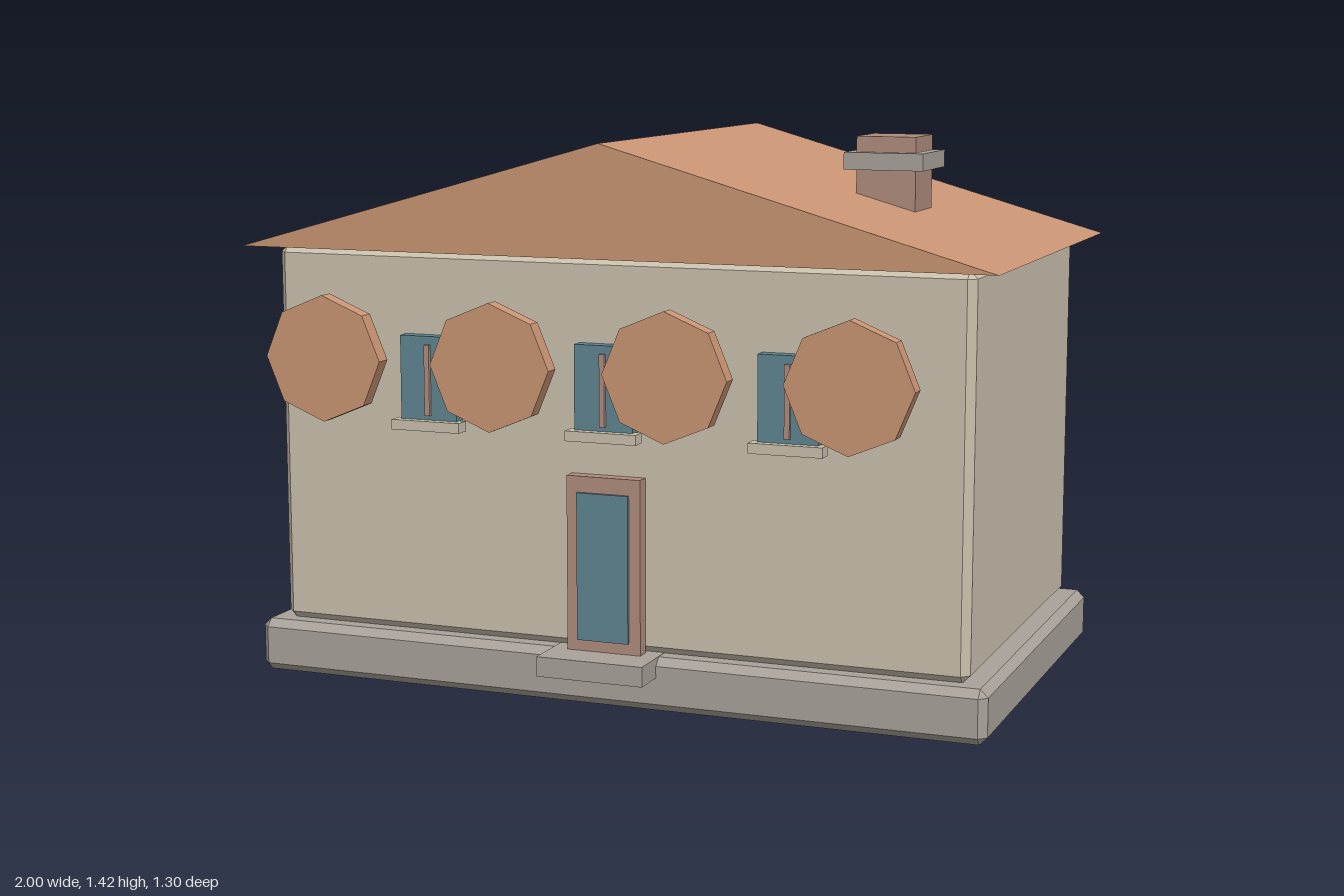
import * as THREE from 'three';
import { ConvexGeometry } from 'three/addons/geometries/ConvexGeometry.js';

const mat = (name, color) => {
  const m = new THREE.MeshStandardMaterial({ color });
  m.name = name;
  return m;
};

export function createModel() {
  const house = new THREE.Group();
  house.name = 'house';

  const plaster = mat('plaster', 0xcac1ae);
  const stone = mat('stone', 0xa9a29b);
  const tile = mat('terracotta', 0xca9574);
  const brick = mat('brick', 0xaf8c7e);
  const glass = mat('blueGlass', 0x5f8592);

  const add = (name, geometry, material, parent = house) => {
    const mesh = new THREE.Mesh(geometry, material);
    mesh.name = name;
    parent.add(mesh);
    return mesh;
  };

  // Plain box given by its extents on each axis
  const box = (name, material, [x0, x1], [y0, y1], [z0, z1], parent) => {
    const g = new THREE.BoxGeometry(x1 - x0, y1 - y0, z1 - z0);
    g.translate((x0 + x1) / 2, (y0 + y1) / 2, (z0 + z1) / 2);
    return add(name, g, material, parent);
  };

  // Box with every edge cut at 45 degrees
  const chamferBox = (name, material, w, h, d, c, y, z) => {
    const points = [];
    for (const sx of [-1, 1]) for (const sy of [-1, 1]) for (const sz of [-1, 1]) {
      for (let axis = 0; axis < 3; axis++) {
        const inset = [0, 1, 2].map((i) => (i === axis ? 0 : c));
        points.push(new THREE.Vector3(
          sx * (w / 2 - inset[0]), sy * (h / 2 - inset[1]), sz * (d / 2 - inset[2])));
      }
    }
    add(name, new ConvexGeometry(points), material).position.set(0, y + h / 2, z);
  };

  // Plinth and walls share a centre slightly behind the origin
  const midZ = -0.064;
  chamferBox('plinth', stone, 1.97, 0.138, 1.13, 0.02, 0, midZ);
  chamferBox('walls', plaster, 1.86, 0.997, 1.046, 0.02, 0.136, midZ);

  // Gable roof with the ridge running front to back
  const gable = new THREE.Shape([
    new THREE.Vector2(-1, 1.132), new THREE.Vector2(1, 1.132), new THREE.Vector2(0, 1.415),
  ]);
  const roof = new THREE.ExtrudeGeometry(gable, { depth: 1.17, bevelEnabled: false });
  add('roof', roof, tile).position.z = midZ - 0.585;

  // Chimney with a collar
  const chimney = new THREE.Group();
  chimney.name = 'chimney';
  chimney.position.set(0.578, 0, midZ);
  house.add(chimney);
  box('chimneyStack', brick, [-0.078, 0.078], [1.18, 1.418], [-0.078, 0.078], chimney);
  box('chimneyCollar', stone, [-0.104, 0.104], [1.334, 1.378], [-0.104, 0.104], chimney);

  // Door and step
  box('doorFrame', brick, [-0.099, 0.099], [0.136, 0.586], [0.461, 0.497]);
  box('doorPanel', glass, [-0.069, 0.069], [0.168, 0.545], [0.48, 0.506]);
  box('doorStep', stone, [-0.142, 0.142], [0.088, 0.139], [0.44, 0.594]);

  // Upper windows
  for (const x of [-0.482, 0, 0.482]) {
    const win = new THREE.Group();
    win.name = 'window';
    win.position.x = x;
    house.add(win);
    box('windowPane', glass, [-0.078, 0.078], [0.696, 0.917], [0.459, 0.494], win);
    box('windowMullion', brick, [-0.007, 0.007], [0.714, 0.896], [0.485, 0.504], win);
    box('windowSill', plaster, [-0.095, 0.095], [0.676, 0.702], [0.475, 0.517], win);
  }

  // Octagonal discs hanging in front of the facade
  const disc = new THREE.CylinderGeometry(0.16, 0.16, 0.043, 8).toNonIndexed();
  disc.rotateX(Math.PI / 2);
  disc.computeVertexNormals();
  for (let i = 0; i < 4; i++) {
    add('octagonDisc', disc, tile).position.set(-0.696 + i * 0.4595, 0.87, 0.632);
  }

  return house;
}
